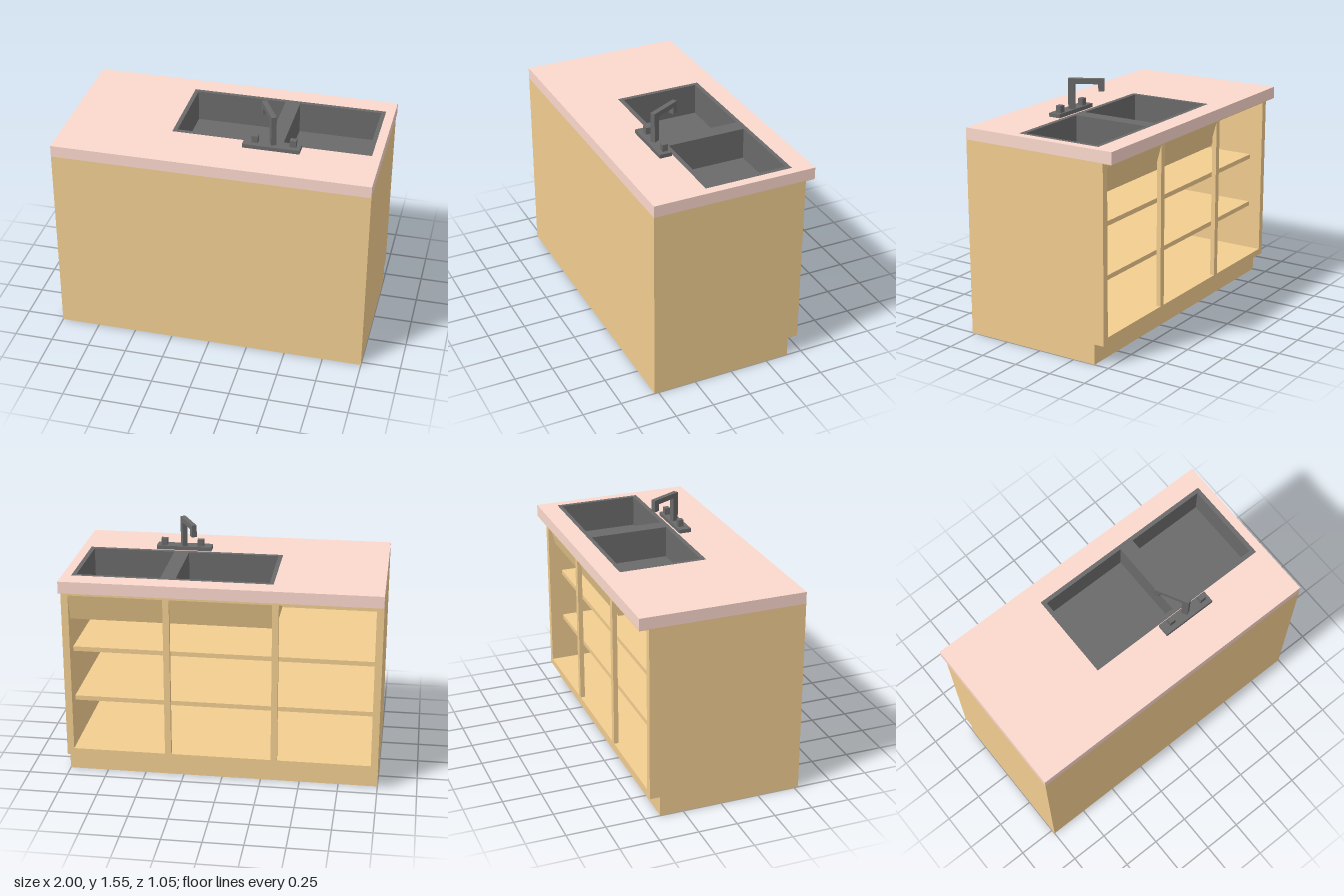
import * as THREE from 'three';

const wood = new THREE.MeshStandardMaterial({ color: 0xf1cd90 });
const stone = new THREE.MeshStandardMaterial({ color: 0xfbd8cd });
const steel = new THREE.MeshStandardMaterial({ color: 0x6a6a6a });

function add(parent, name, geometry, material) {
  const mesh = new THREE.Mesh(geometry, material);
  mesh.name = name;
  parent.add(mesh);
  return mesh;
}

// Box given by its limits on each axis
function block(parent, name, material, [x0, x1], [y0, y1], [z0, z1]) {
  const g = new THREE.BoxGeometry(x1 - x0, y1 - y0, z1 - z0);
  g.translate((x0 + x1) / 2, (y0 + y1) / 2, (z0 + z1) / 2);
  return add(parent, name, g, material);
}

const polygon = (points) => new THREE.Shape(points.map(([x, y]) => new THREE.Vector2(x, y)));
// Counter-clockwise, so that the walls of holes face into the hole
const rect = ([x0, x1], [z0, z1]) => polygon([[x0, -z1], [x1, -z1], [x1, -z0], [x0, -z0]]);

// Horizontal slab with rectangular holes
function slab(parent, name, material, xs, [y0, y1], zs, holes) {
  const shape = rect(xs, zs);
  holes.forEach(([hx, hz]) => shape.holes.push(rect(hx, hz)));
  const g = new THREE.ExtrudeGeometry(shape, { depth: y1 - y0, bevelEnabled: false });
  g.rotateX(-Math.PI / 2).translate(0, y0, 0);
  return add(parent, name, g, material);
}

const sinkX = [-0.32, 0.943];
const sinkZ = [-0.4, 0.17];

function makeCabinet() {
  const cabinet = new THREE.Group();
  cabinet.name = 'cabinet';
  const inside = [-0.955, 0.955];
  block(cabinet, 'plinth', wood, [-1, 1], [0, 0.131], [-0.4, 0.527]);
  block(cabinet, 'floor', wood, inside, [0.131, 0.175], [-0.467, 0.5]);
  block(cabinet, 'frontPanel', wood, inside, [0.131, 1.257], [0.5, 0.527]);
  block(cabinet, 'topRail', wood, inside, [1.225, 1.257], [-0.467, -0.437]);
  for (const s of [-1, 1]) {
    block(cabinet, 'sideWall', wood, s < 0 ? [-1, -0.955] : [0.955, 1], [0.131, 1.257], [-0.467, 0.527]);
    block(cabinet, 'stile', wood, [s * 0.34 - 0.02, s * 0.34 + 0.02], [0.175, 1.225], [-0.467, -0.437]);
  }
  for (const top of [0.85, 0.51]) {
    block(cabinet, 'shelf', wood, inside, [top - 0.03, top], [-0.38, 0.5]);
  }

  // Casing around the sink, with a front that leans inwards
  const front = polygon([[0.467, 1.225], [0.42, 1.055], [0.4, 1.055], [0.4, 1.257], [0.437, 1.257], [0.437, 1.225]]);
  const g = new THREE.ExtrudeGeometry(front, { depth: 1.295, bevelEnabled: false });
  g.rotateY(Math.PI / 2).translate(-0.34, 0, 0);
  add(cabinet, 'sinkCasingFront', g, wood);
  block(cabinet, 'sinkCasingBottom', wood, [-0.34, 0.955], [1.055, 1.08], [-0.41, 0.19]);
  block(cabinet, 'sinkCasingSide', wood, [-0.34, -0.32], [1.055, 1.257], [-0.41, 0.19]);
  block(cabinet, 'sinkCasingBack', wood, [-0.34, 0.955], [1.055, 1.257], [0.17, 0.19]);
  return cabinet;
}

function makeCountertop() {
  const top = new THREE.Group();
  top.name = 'countertop';
  const opening = [[sinkX, sinkZ]];
  slab(top, 'counterSlab', stone, [-1, 1], [1.26, 1.335], [-0.527, 0.527], opening);
  slab(top, 'counterUnderside', wood, [-1, 1], [1.257, 1.26], [-0.527, 0.527], opening);
  return top;
}

function makeSink() {
  const sink = new THREE.Group();
  sink.name = 'sink';
  const bowls = [[-0.293, 0.29], [0.387, 0.915]].map((xs) => [xs, [-0.373, 0.14]]);
  slab(sink, 'bowlWalls', steel, sinkX, [1.13, 1.335], sinkZ, bowls);
  block(sink, 'bowlFloor', steel, sinkX, [1.11, 1.13], sinkZ);
  return sink;
}

function makeFaucet() {
  const faucet = new THREE.Group();
  faucet.name = 'faucet';
  block(faucet, 'faucetBase', steel, [0.15, 0.51], [1.335, 1.36], [0.18, 0.26]);
  for (const x of [0.222, 0.462]) {
    block(faucet, 'faucetKnob', steel, [x - 0.02, x + 0.02], [1.36, 1.405], [0.193, 0.228]);
  }
  // Square hooked spout, swung over the large bowl
  const hook = polygon([[0, 0], [0.042, 0], [0.042, 0.16], [0.19, 0.16], [0.19, 0.115],
    [0.226, 0.115], [0.226, 0.193], [0, 0.193]]);
  const g = new THREE.ExtrudeGeometry(hook, { depth: 0.033, bevelEnabled: false });
  g.translate(0, 0, -0.0165);
  const spout = add(faucet, 'spout', g, steel);
  spout.position.set(0.343, 1.36, 0.23);
  spout.rotation.y = Math.atan2(0.883, -0.47);
  return faucet;
}

export function createModel() {
  const model = new THREE.Group();
  model.name = 'kitchenSinkCabinet';
  model.add(makeCabinet(), makeCountertop(), makeSink(), makeFaucet());
  return model;
}
